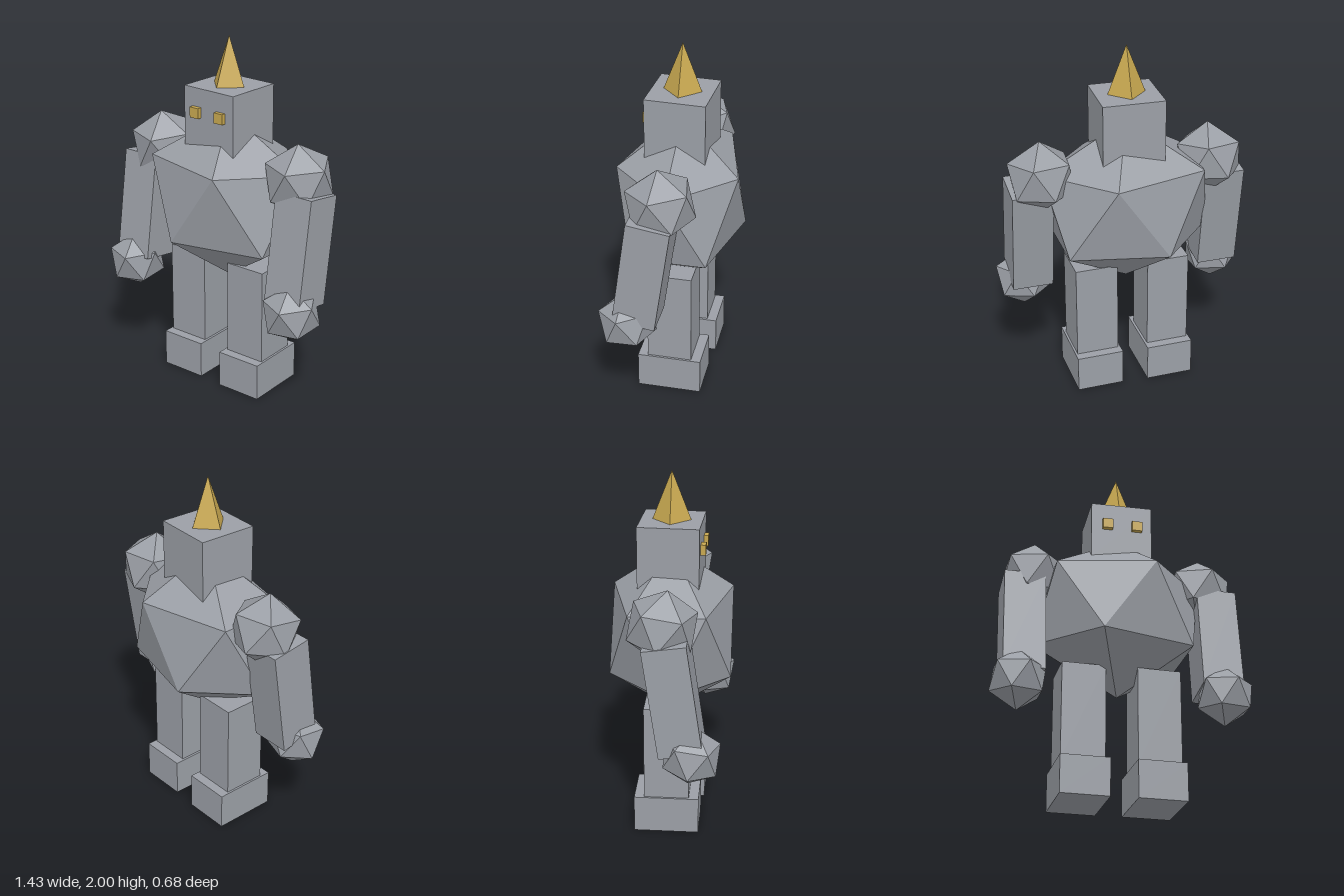
import * as THREE from 'three';

export function createModel() {
  const model = new THREE.Group();
  const stone = new THREE.MeshStandardMaterial({ color: 0x9b9fa6, flatShading: true });
  stone.name = 'grey stone';
  const gold = new THREE.MeshStandardMaterial({ color: 0xc8a850, flatShading: true });
  gold.name = 'gold';

  function add(name, geometry, material, position, rotation = [0, 0, 0]) {
    const mesh = new THREE.Mesh(geometry, material);
    mesh.name = name;
    mesh.position.set(...position);
    mesh.rotation.set(...rotation);
    model.add(mesh);
    return mesh;
  }
  const box = (w, h, d) => new THREE.BoxGeometry(w, h, d);

  // Faceted boulder standing on one corner
  const boulder = (rx, ry, rz) => new THREE.IcosahedronGeometry(1, 0)
    .rotateZ(-Math.atan(2 / (1 + Math.sqrt(5))))
    .scale(rx, ry, rz);

  // Body and head
  add('torso', boulder(0.531, 0.48, 0.394), stone, [0, 1.095, 0], [0, 0.03, 0]);
  add('head', box(0.345, 0.345, 0.335), stone, [-0.003, 1.557, 0], [0, -0.02, 0]);
  add('horn', new THREE.ConeGeometry(0.105, 0.27, 4), gold, [-0.003, 1.865, 0]);

  for (const side of [-1, 1]) {
    const label = side > 0 ? 'left' : 'right';
    add(label + 'Eye', box(0.058, 0.058, 0.06), gold, [side * 0.084 - 0.004, 1.597, 0.163]);

    // Arms swing slightly forward
    const yaw = side > 0 ? -0.09 : 0;
    add(label + 'Shoulder', boulder(0.2, 0.2, 0.2), stone, [side * 0.478, 1.3, 0], [side > 0 ? 0.08 : 0.15, yaw, 0]);
    add(label + 'Arm', box(0.228, 0.61, 0.235), stone, [side * 0.544, 0.942, 0.068], [-0.145, 0.02, 0]);
    add(label + 'Hand', boulder(0.167, 0.167, 0.167), stone, [side * 0.567, 0.607, 0.165], [0.12, yaw, 0]);

    // Legs and feet
    add(label + 'Leg', box(0.242, 0.55, 0.25), stone, [side * 0.208, 0.475, 0], [0, 0.03, 0]);
    add(label + 'Foot', box(0.268, 0.21, 0.36), stone, [side * 0.207, 0.105, 0], [0, 0.03, 0]);
  }
  return model;
}
